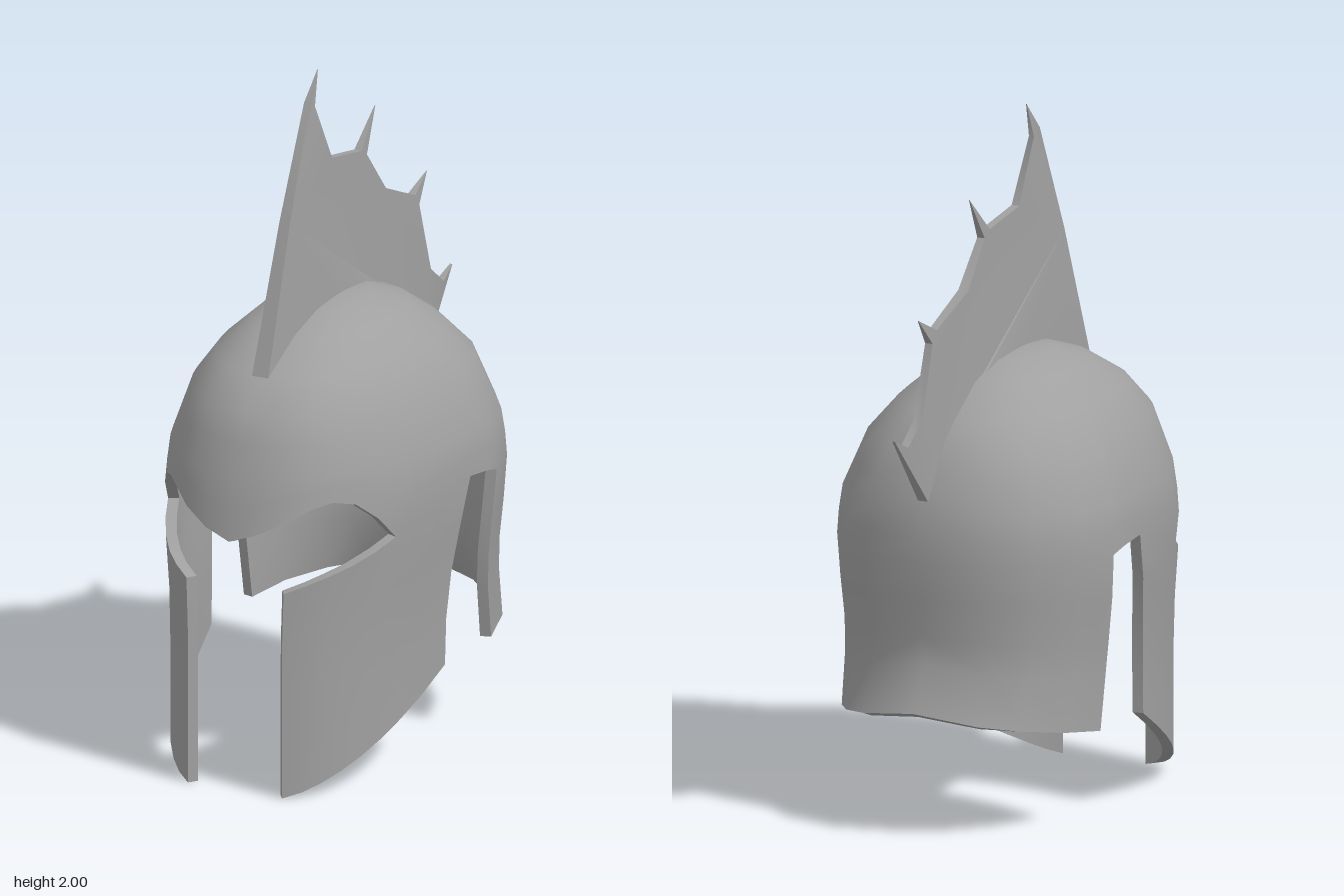
import * as THREE from 'three';
import { mergeVertices, toCreasedNormals } from 'three/addons/utils/BufferGeometryUtils.js';

const THICKNESS = 0.032;

// Horizontal sections of the helmet: y, half width, front z, back z, z of widest point
const SECTIONS = [
  [0, 0.4, 0.66, -0.57, -0.1], [0.38, 0.4, 0.66, -0.54, -0.1],
  [0.5, 0.402, 0.66, -0.475, -0.1], [0.75, 0.427, 0.66, -0.5, -0.1],
  [0.83, 0.43, 0.645, -0.5, -0.1], [0.94, 0.417, 0.62, -0.488, -0.085],
  [1.1, 0.355, 0.56, -0.425, -0.05], [1.19, 0.285, 0.47, -0.34, 0],
  [1.27, 0.195, 0.325, -0.22, 0.03], [1.31, 0.11, 0.2, -0.1, 0.05],
  [1.325, 0, 0.06, 0.06, 0.06],
];

// Lower edge of the dome as angle from the front, y
const DOME_EDGE = [
  [0, 0.75], [0.15, 0.778], [0.332, 0.818], [0.47, 0.852], [0.6, 0.867], [0.74, 0.853],
  [0.88, 0.8], [1, 0.73], [1.12, 0.755], [1.28, 0.785], [1.45, 0.825], [1.55, 0.815],
  [1.666, 0.8], [2, 0.8], [2.35, 0.8], [2.65, 0.8], [Math.PI, 0.8],
];
// Lower edge of the eye opening
const EYE_EDGE = [[0.332, 0.608], [0.47, 0.63], [0.6, 0.65], [0.74, 0.672], [0.88, 0.7]];

// The front half is a little squarer than an ellipse
function surfacePoint(th, y) {
  let i = 0;
  while (i < SECTIONS.length - 2 && y > SECTIONS[i + 1][0]) i++;
  const a = SECTIONS[i], b = SECTIONS[i + 1];
  const t = (y - a[0]) / (b[0] - a[0]);
  const [, w, front, back, mid] = a.map((v, k) => v + (b[k] - v) * t);
  const s = Math.max(0, Math.sin(th)), c = Math.cos(th);
  if (c <= 0) return [w * s, y, mid + (mid - back) * c];
  return [w * s ** 0.87, y, mid + (front - mid) * c ** 0.87];
}

// Each patch is a list of columns, each column a list of [angle, y] going up
function domePatch() {
  return DOME_EDGE.map(([th, y]) =>
    [y, (y + 0.94) / 2, 0.94, 1.02, 1.1, 1.19, 1.27, 1.31, 1.325].map((h) => [th, h]));
}

function cheekPatch() {
  const top = [...EYE_EDGE, ...DOME_EDGE.slice(7, 11)];
  return top.map(([th, y]) => {
    const low = 0.332 + (th - 0.332) * 0.91;
    const yLow = Math.max(0, 0.55 * (0.62 - surfacePoint(low, 0.1)[2]));
    return [0, 0.25, 0.5, 0.75, 1].map((v) =>
      [low + (th - low) * v * v, yLow + (y - yLow) * v]);
  });
}

function guardPatch() {
  return DOME_EDGE.slice(12).map(([th, y]) => {
    const u = (th - 1.666) / (Math.PI - 1.666);
    const low = th + 0.04 * (1 - u);
    const yLow = 0.29 + 0.085 * u;
    return [0, 0.3, 0.5, 0.75, 1].map((v) => [
      low + (th - low) * v - 0.04 * (1 - u) * Math.sin(Math.PI * v),
      yLow + (y - yLow) * v,
    ]);
  });
}

// Welded outer skin of both halves
function outerSkin() {
  const positions = [];
  for (const side of [1, -1]) {
    for (const patch of [domePatch(), cheekPatch(), guardPatch()]) {
      const grid = patch.map((column) => column.map(([th, y]) => {
        const p = surfacePoint(th, y);
        p[0] = p[0] < 1e-6 ? 0 : p[0] * side;
        return p;
      }));
      for (let i = 0; i < grid.length - 1; i++) {
        for (let j = 0; j < grid[i].length - 1; j++) {
          const a = grid[i][j], b = grid[i + 1][j];
          const c = grid[i + 1][j + 1], d = grid[i][j + 1];
          const tris = c[1] > 1.324 ? [[a, b, c]] : [[a, b, c], [a, c, d]];
          for (const [p, q, r] of tris) {
            positions.push(...p, ...(side > 0 ? q : r), ...(side > 0 ? r : q));
          }
        }
      }
    }
  }
  const geo = new THREE.BufferGeometry();
  geo.setAttribute('position', new THREE.Float32BufferAttribute(positions, 3));
  const welded = mergeVertices(geo, 1e-4);
  welded.computeVertexNormals();
  return welded;
}

// Adds an inner skin and closes every open edge with a rim
function thicken(skin) {
  const pos = skin.attributes.position, nor = skin.attributes.normal;
  const index = Array.from(skin.index.array), n = pos.count;
  const points = Array.from(pos.array);
  for (let i = 0; i < n * 3; i++) points.push(pos.array[i] - nor.array[i] * THICKNESS);
  const edges = new Set();
  const faces = [...index];
  for (let i = 0; i < index.length; i += 3) {
    const [a, b, c] = index.slice(i, i + 3);
    faces.push(a + n, c + n, b + n);
    [[a, b], [b, c], [c, a]].forEach(([p, q]) => edges.add(p + '_' + q));
  }
  for (const key of edges) {
    const [p, q] = key.split('_').map(Number);
    if (!edges.has(q + '_' + p)) faces.push(q, p, p + n, q, p + n, q + n);
  }
  return creased(points, faces);
}

function creased(points, faces) {
  const geo = new THREE.BufferGeometry();
  geo.setAttribute('position', new THREE.Float32BufferAttribute(points, 3));
  geo.setIndex(faces);
  return toCreasedNormals(geo, 0.8);
}

// Spiked crest plate, thick at the dome and sharp at the tips: z, y, half thickness
function crestGeometry() {
  const outline = [
    [0.475, 1.185, 0.026], [0.33, 1.6, 0.017], [0.2, 1.92, 0.008], [0.135, 2, 0.001],
    [0.165, 1.9, 0.008], [0.07, 1.72, 0.012], [-0.105, 1.69, 0.012], [-0.205, 1.795, 0.001],
    [-0.135, 1.67, 0.012], [-0.24, 1.54, 0.016], [-0.42, 1.465, 0.012], [-0.51, 1.51, 0.001],
    [-0.445, 1.43, 0.012], [-0.51, 1.22, 0.014], [-0.59, 1.16, 0.012], [-0.655, 1.19, 0.004],
    [-0.48, 0.98, 0.016], [-0.415, 1.08, 0.02], [-0.33, 1.18, 0.025], [-0.21, 1.255, 0.031],
    [-0.1, 1.295, 0.034], [0.05, 1.31, 0.034], [0.18, 1.295, 0.033], [0.32, 1.255, 0.03],
  ];
  const n = outline.length;
  const points = [1, -1].flatMap((side) => outline.flatMap(([z, y, half]) => [side * half, y, z]));
  const flat = outline.map(([z, y]) => new THREE.Vector2(z, y));
  const turn = THREE.ShapeUtils.isClockWise(flat) ? -1 : 1;
  const faces = [];
  for (const [a, b, c] of THREE.ShapeUtils.triangulateShape(flat, [])) {
    // Order the corners so that the +x face looks outward
    const area = THREE.ShapeUtils.area([flat[a], flat[b], flat[c]]);
    const [p, q] = area > 0 ? [c, b] : [b, c];
    faces.push(a, p, q, a + n, q + n, p + n);
  }
  for (let i = 0; i < n; i++) {
    const j = (i + 1) % n;
    const [p, q] = turn > 0 ? [i, j] : [j, i];
    faces.push(p, q, q + n, p, q + n, p + n);
  }
  return creased(points, faces);
}

export function createModel() {
  const metal = new THREE.MeshStandardMaterial({ color: 0xa0a0a0 });
  metal.name = 'grey metal';

  const shell = new THREE.Mesh(thicken(outerSkin()), metal);
  shell.name = 'helmetShell';
  const crest = new THREE.Mesh(crestGeometry(), metal);
  crest.name = 'crest';

  // The helmet is turned very slightly to its right
  const helmet = new THREE.Group();
  helmet.name = 'helmet';
  helmet.add(shell, crest);
  helmet.rotation.y = -0.04;

  const model = new THREE.Group();
  model.name = 'crestedHelmet';
  model.add(helmet);
  return model;
}
